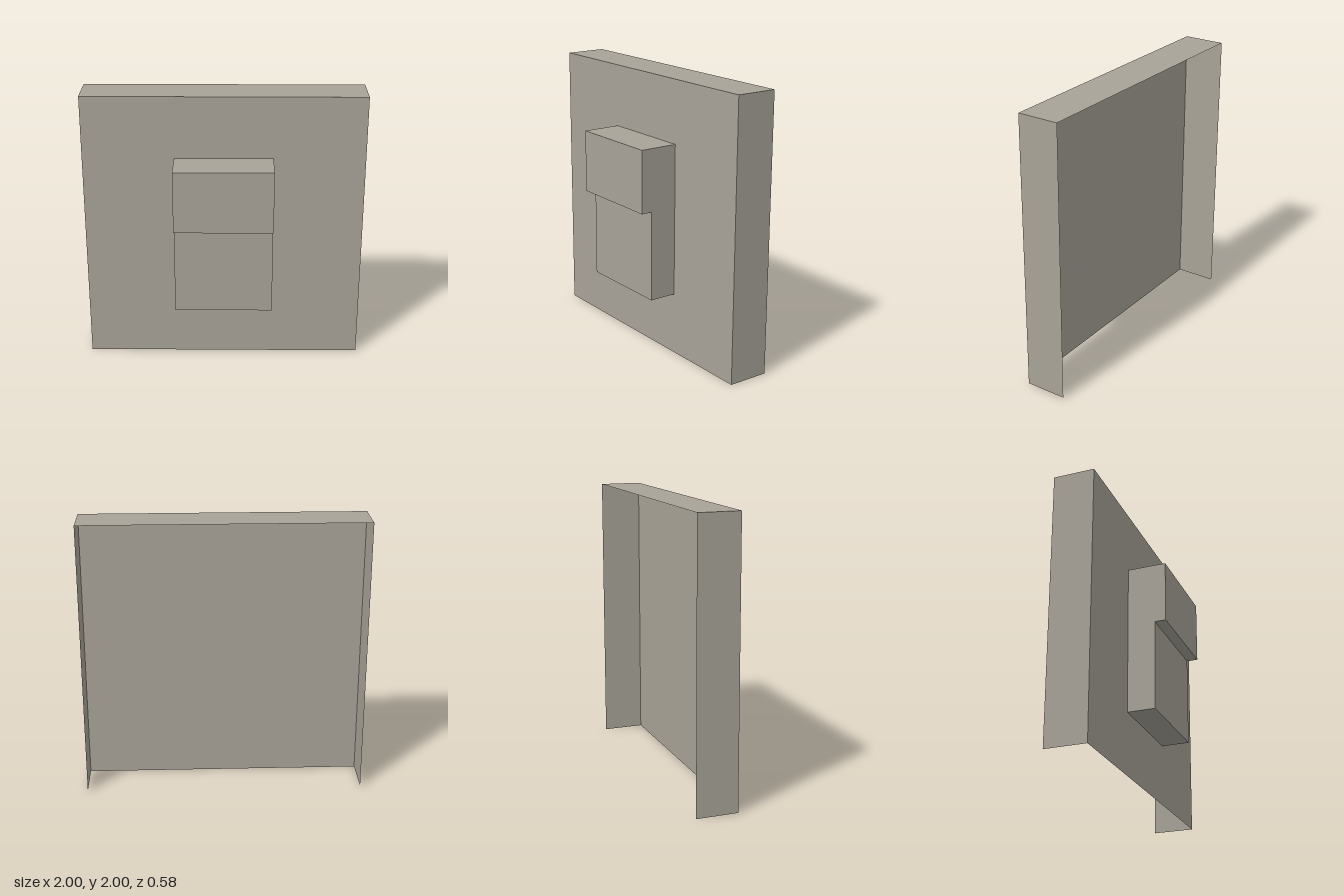
import * as THREE from 'three';

const FRONT = 0.01, BACK = -0.29, DEPTH = FRONT - BACK, MID = (FRONT + BACK) / 2;

export function createModel() {
  const model = new THREE.Group();
  model.name = 'wallPanel';
  const stone = new THREE.MeshStandardMaterial({ color: 0xa8a398, side: THREE.DoubleSide });
  stone.name = 'warm grey';

  const add = (name, geometry, x, y, z) => {
    const mesh = new THREE.Mesh(geometry, stone);
    mesh.name = name;
    mesh.position.set(x, y, z);
    model.add(mesh);
    return mesh;
  };

  // Thin shell, open at the back and the bottom
  add('frontPanel', new THREE.PlaneGeometry(2, 2), 0, 1, FRONT);
  add('topPanel', new THREE.PlaneGeometry(2, DEPTH), 0, 2, MID).rotation.x = -Math.PI / 2;
  for (const [name, side] of [['leftPanel', 1], ['rightPanel', -1]]) {
    add(name, new THREE.PlaneGeometry(DEPTH, 2), side, 1, MID).rotation.y = side * Math.PI / 2;
  }

  // Stepped block on the front: side profile (z, y) extruded across x
  const profile = new THREE.Shape([
    [FRONT, 0.45], [0.21, 0.45], [0.21, 1.1], [0.29, 1.1], [0.29, 1.55], [FRONT, 1.55],
  ].map(([z, y]) => new THREE.Vector2(-z, y)));
  const block = new THREE.ExtrudeGeometry(profile, { depth: 0.7, bevelEnabled: false });
  block.rotateY(Math.PI / 2); // profile -z axis turns to face the front
  add('steppedBlock', block, -0.35, 0, 0);

  return model;
}
